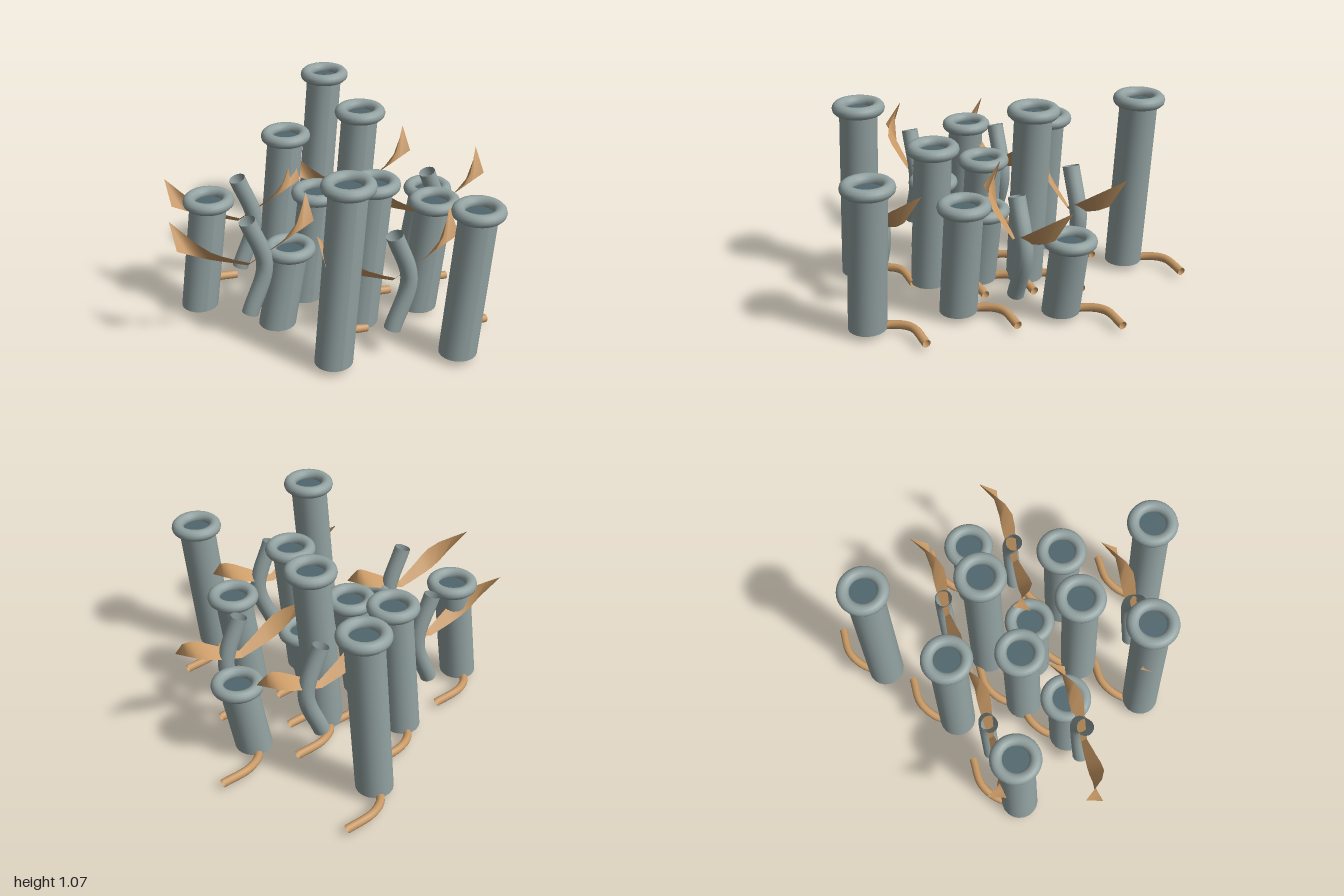
import * as THREE from 'three';

const V = (x, y, z) => new THREE.Vector3(x, y, z);
const curve = (...pts) => new THREE.CatmullRomCurve3(pts.map(p => V(...p)));

export function createModel() {
  const stone = new THREE.MeshStandardMaterial({ color: 0x92a1a1, side: THREE.DoubleSide });
  stone.name = 'grey green';
  const dark = new THREE.MeshStandardMaterial({ color: 0x4f666d });
  dark.name = 'dark slate';
  const tan = new THREE.MeshStandardMaterial({ color: 0xc99a66, side: THREE.DoubleSide });
  tan.name = 'tan';

  const model = new THREE.Group();
  const add = (parent, name, geo, mat, x = 0, y = 0, z = 0) => {
    const m = new THREE.Mesh(geo, mat);
    m.name = name;
    m.position.set(x, y, z);
    parent.add(m);
    return m;
  };

  // Leaning hollow tubes: rim x, rim z, rim centre height
  const lean = 0.08, foot = 0.035;
  const tubes = [
    [0.345, -0.77, 1.035], [-0.065, -0.43, 0.85], [-0.63, -0.2, 0.665],
    [0.27, -0.16, 1.035], [0.715, -0.14, 0.475], [-0.06, -0.03, 0.665],
    [-0.315, 0.165, 0.475], [0.175, 0.085, 0.475], [0.095, 0.345, 0.85],
    [0.468, 0.345, 0.665], [-0.205, 0.64, 1.035], [0.425, 0.845, 0.85],
  ];
  const rimGeo = new THREE.TorusGeometry(0.107, 0.034, 12, 32).rotateX(Math.PI / 2);
  const waterGeo = new THREE.CircleGeometry(0.1, 24).rotateX(-Math.PI / 2);
  const rootPath = curve([0, 0.023, 0], [0.035, 0.04, -0.11], [0.14, 0.056, -0.19], [0.3, 0.04, -0.2]);
  const rootGeo = new THREE.TubeGeometry(rootPath, 20, 0.023, 10);

  for (const [x, z, top] of tubes) {
    const g = new THREE.Group();
    g.name = 'tubeSponge';
    g.position.set(x - lean, 0, z);
    const h = top - foot;
    // Slant the cylinder so its top sits under the rim
    const body = new THREE.CylinderGeometry(0.102, 0.102, h, 20, 1, true).translate(0, h / 2, 0);
    body.applyMatrix4(new THREE.Matrix4().set(1, lean / h, 0, 0, 0, 1, 0, 0, 0, 0, 1, 0, 0, 0, 0, 1));
    body.computeVertexNormals();
    add(g, 'tubeBody', body, stone, 0, foot, 0);
    add(g, 'tubeFoot', new THREE.CircleGeometry(0.102, 20).rotateX(Math.PI / 2), stone, 0, foot, 0);
    add(g, 'tubeRim', rimGeo, stone, lean, top, 0);
    add(g, 'tubeHollow', waterGeo, dark, lean, top - 0.01, 0);
    add(g, 'root', rootGeo, tan);
    model.add(g);
  }

  // Twisted leaf as a ribbon between two edge curves
  const leafGeometry = (side) => {
    const upper = curve([0, 0.475, 0.02], [0.1, 0.53, 0.035], [0.24, 0.62, 0.042], [0.385, 0.75, -0.105]);
    const lower = curve([0, 0.445, -0.01], [0.1, 0.482, -0.02], [0.22, 0.53, -0.025], [0.385, 0.625, -0.005]);
    const n = 8, pos = [], idx = [];
    for (let i = 0; i <= n; i++) {
      for (const c of [upper, lower]) {
        const p = c.getPoint(i / n);
        pos.push(p.x * side, p.y, p.z);
      }
      if (i < n) {
        const a = i * 2;
        if (side > 0) idx.push(a, a + 1, a + 2, a + 1, a + 3, a + 2);
        else idx.push(a, a + 2, a + 1, a + 1, a + 2, a + 3);
      }
    }
    const geo = new THREE.BufferGeometry();
    geo.setAttribute('position', new THREE.Float32BufferAttribute(pos, 3));
    geo.setIndex(idx);
    geo.computeVertexNormals();
    return geo;
  };
  const leftLeaf = leafGeometry(1), rightLeaf = leafGeometry(-1);
  const stemPath = curve([0, 0.155, 0], [0.093, 0.435, 0], [0, 0.715, 0]);
  const stemGeo = new THREE.TubeGeometry(stemPath, 20, 0.046, 14);

  // Bowed stems with a pair of leaves
  const plants = [[-0.425, -0.29], [0.335, -0.36], [-0.567, 0.195], [0.565, 0.095], [0.045, 0.665]];
  for (const [x, z] of plants) {
    const g = new THREE.Group();
    g.name = 'leafyPlant';
    g.position.set(x, 0, z);
    add(g, 'stem', stemGeo, stone);
    add(g, 'leftLeaf', leftLeaf, tan);
    add(g, 'rightLeaf', rightLeaf, tan);
    model.add(g);
  }
  return model;
}
